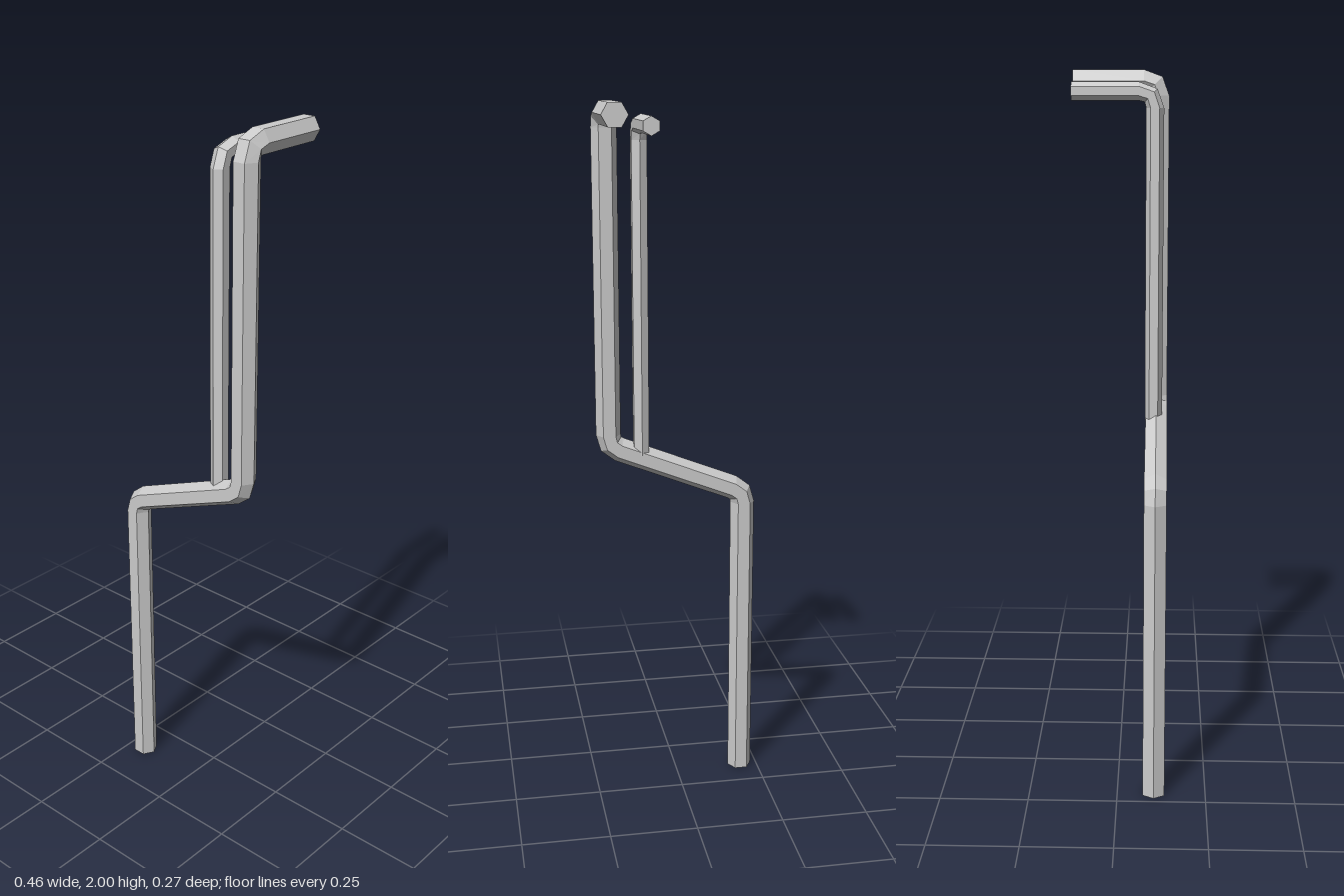
import * as THREE from 'three';

const SIDES = 6;
const v = (x, y, z) => new THREE.Vector3(x, y, z);

// Turn a path of corners into ring stations, rounding each corner in two steps
function stations(corners) {
  const list = [];
  const last = corners.length - 1;
  const dir = (i) => corners[i + 1].p.clone().sub(corners[i].p).normalize();
  corners.forEach(({ p, bend }, i) => {
    if (i === 0) return list.push({ p, t: dir(0) });
    if (i === last) return list.push({ p, t: dir(last - 1) });
    const a = dir(i - 1), b = dir(i);
    const start = p.clone().addScaledVector(a, -bend);
    const end = p.clone().addScaledVector(b, bend);
    const mid = start.clone().add(end).multiplyScalar(0.25).addScaledVector(p, 0.5);
    list.push({ p: start, t: a }, { p: mid, t: a.clone().add(b).normalize() }, { p: end, t: b });
  });
  return list;
}

// Sweep a hexagon along the path, carrying its frame round the bends
function hexPipe(name, corners, radius, firstVertexDir, material) {
  const rings = stations(corners);
  const pos = [], index = [];
  const n = firstVertexDir.clone();
  rings.forEach(({ p, t }, i) => {
    if (i > 0) n.applyQuaternion(new THREE.Quaternion().setFromUnitVectors(rings[i - 1].t, t));
    const b = t.clone().cross(n);
    for (let j = 0; j < SIDES; j++) {
      const ang = (j / SIDES) * Math.PI * 2;
      const q = p.clone()
        .addScaledVector(n, Math.cos(ang) * radius)
        .addScaledVector(b, Math.sin(ang) * radius);
      pos.push(q.x, q.y, q.z);
    }
  });
  // Side faces
  for (let i = 0; i < rings.length - 1; i++) {
    for (let j = 0; j < SIDES; j++) {
      const k = (j + 1) % SIDES;
      const a = i * SIDES + j, b = i * SIDES + k;
      index.push(a, b, b + SIDES, a, b + SIDES, a + SIDES);
    }
  }
  // End caps
  const top = (rings.length - 1) * SIDES;
  for (let j = 1; j < SIDES - 1; j++) {
    index.push(0, j + 1, j, top, top + j, top + j + 1);
  }
  const indexed = new THREE.BufferGeometry();
  indexed.setAttribute('position', new THREE.Float32BufferAttribute(pos, 3));
  indexed.setIndex(index);
  const geometry = indexed.toNonIndexed();
  geometry.computeVertexNormals();
  const mesh = new THREE.Mesh(geometry, material);
  mesh.name = name;
  return mesh;
}

export function createModel() {
  const group = new THREE.Group();
  group.name = 'bentPipes';
  const material = new THREE.MeshStandardMaterial({ color: 0xcccccc, flatShading: true });

  // Main pipe: upright, sideways offset, upright, then turned back at the top
  group.add(hexPipe('mainPipe', [
    { p: v(-0.197, 0, 0.103) },
    { p: v(-0.197, 0.891, 0.103), bend: 0.033 },
    { p: v(0.196, 1.046, 0.103), bend: 0.033 },
    { p: v(0.196, 1.97, 0.103), bend: 0.04 },
    { p: v(0.196, 1.97, -0.135) },
  ], 0.0355, v(1, 0, 0), material));

  // Thin branch pipe rising from the slanted run and turned back at the top
  group.add(hexPipe('branchPipe', [
    { p: v(0.103, 1.02, 0.095) },
    { p: v(0.103, 1.942, 0.095), bend: 0.045 },
    { p: v(0.103, 1.942, -0.135) },
  ], 0.0248, v(0, 0, 1), material));

  return group;
}
